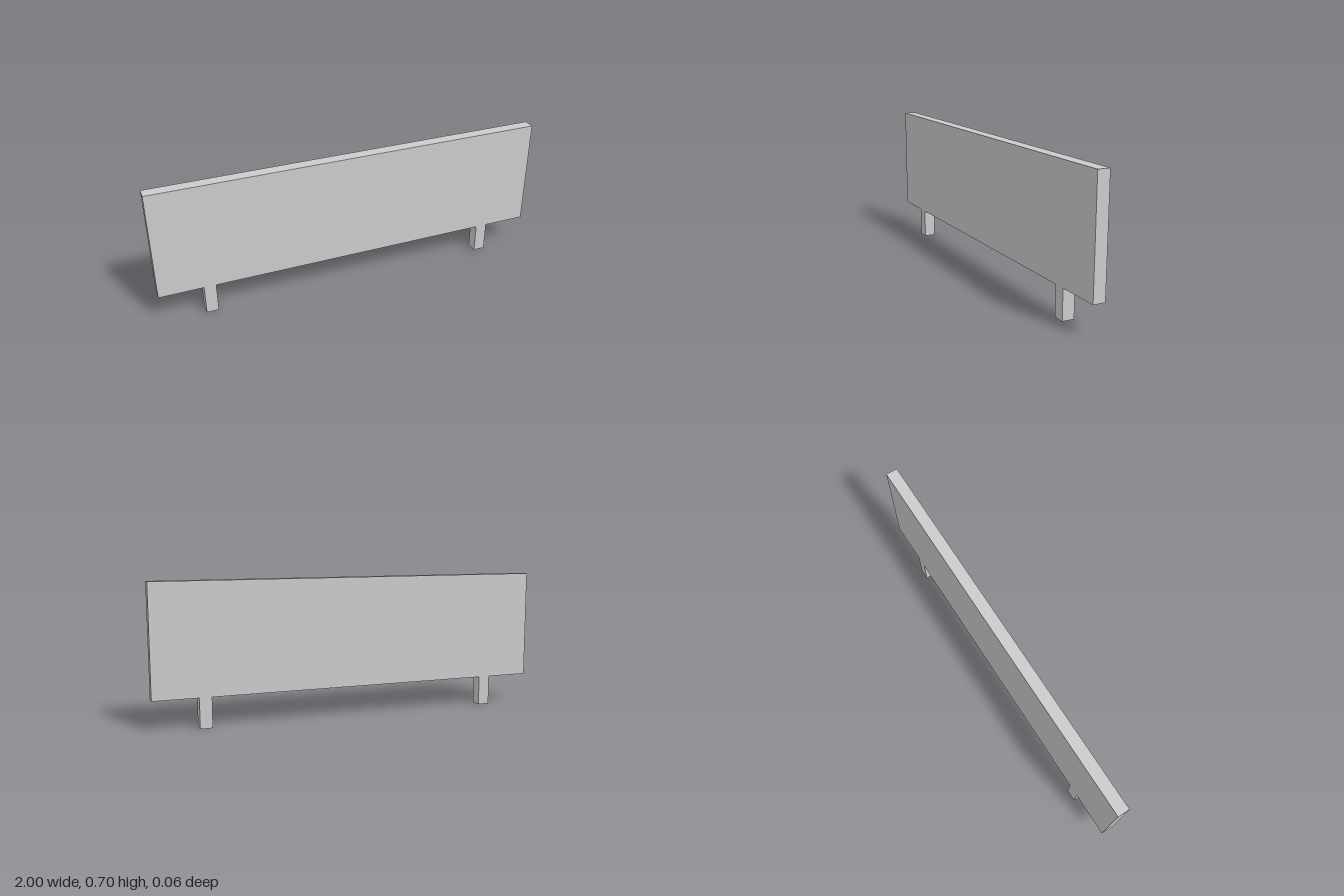
import * as THREE from 'three';

const THICKNESS = 0.06;
const LEG_HEIGHT = 0.15;
const TOP = 0.7;

export function createModel() {
  const group = new THREE.Group();
  const material = new THREE.MeshStandardMaterial({ color: 0xcccccc });

  // Adds a box of the shared thickness, standing on height y
  const addBox = (name, width, height, x, y) => {
    const mesh = new THREE.Mesh(new THREE.BoxGeometry(width, height, THICKNESS), material);
    mesh.name = name;
    mesh.position.set(x, y + height / 2, 0);
    group.add(mesh);
  };

  // Wide upright board
  addBox('panel', 2, TOP - LEG_HEIGHT, 0, LEG_HEIGHT);

  // Two short square legs, flush with the board
  addBox('leftLeg', 0.06, LEG_HEIGHT, 0.75, 0);
  addBox('rightLeg', 0.06, LEG_HEIGHT, -0.75, 0);

  return group;
}
